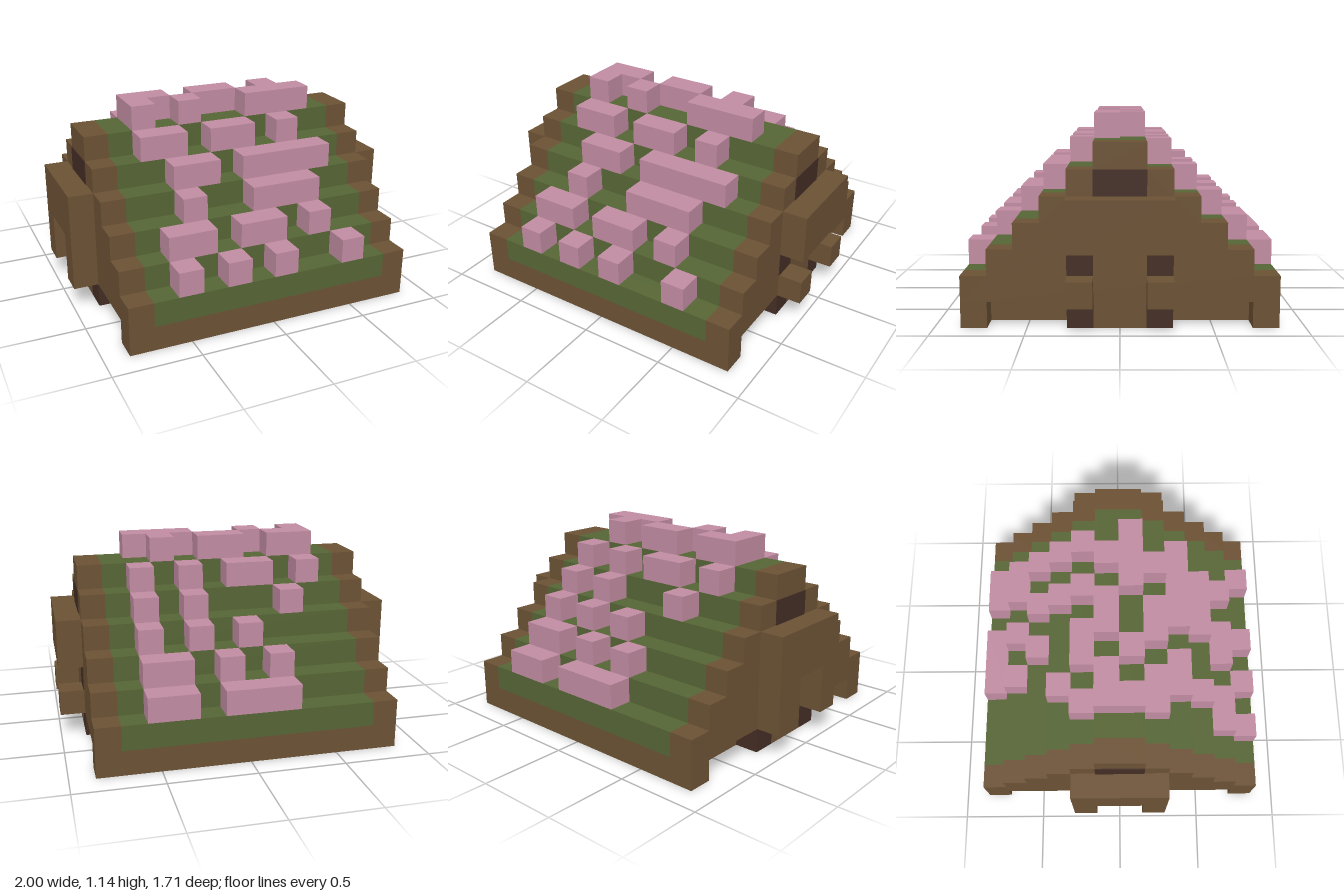
import * as THREE from 'three';

const U = 1 / 7; // block size

export function createModel() {
  const model = new THREE.Group();
  const material = (name, color) => {
    const m = new THREE.MeshStandardMaterial({ color });
    m.name = name;
    return m;
  };
  const brown = material('brown wood', 0x6b5134);
  const green = material('leaf green', 0x566535);
  const pink = material('blossom pink', 0xc08ba1);
  const dark = material('dark opening', 0x432d24);

  // Box given by its limits in block units
  const box = (name, mat, x0, x1, y0, y1, z0, z1) => {
    const geo = new THREE.BoxGeometry((x1 - x0) * U, (y1 - y0) * U, (z1 - z0) * U);
    const mesh = new THREE.Mesh(geo, mat);
    mesh.position.set((x0 + x1) * U / 2, (y0 + y1) * U / 2, (z0 + z1) * U / 2);
    mesh.name = name;
    model.add(mesh);
  };
  // The same box on the +x (side 1) or -x (side -1) side
  const sideBox = (side, name, mat, x0, x1, ...rest) =>
    box(name, mat, side > 0 ? x0 : -x1, side > 0 ? x1 : -x0, ...rest);

  // Stepped roof profile in z and y, sitting on the base
  const profile = new THREE.Shape();
  profile.moveTo(-6 * U, U);
  for (let i = 0; i < 6; i++) {
    profile.lineTo((i - 6) * U, (i + 2) * U);
    if (i < 5) profile.lineTo((i - 5) * U, (i + 2) * U);
  }
  for (let i = 5; i >= 0; i--) {
    profile.lineTo((6 - i) * U, (i + 2) * U);
    if (i > 0) profile.lineTo((6 - i) * U, (i + 1) * U);
  }
  profile.lineTo(6 * U, U);
  const steps = (name, mat, x0, x1) => {
    const geo = new THREE.ExtrudeGeometry(profile, { depth: (x1 - x0) * U, bevelEnabled: false });
    geo.rotateY(-Math.PI / 2);
    geo.translate(x1 * U, 0, 0);
    const mesh = new THREE.Mesh(geo, mat);
    mesh.name = name;
    model.add(mesh);
  };
  steps('greenSteps', green, -5, 5);
  steps('leftEndSteps', brown, 5, 6);
  steps('rightEndSteps', brown, -6, -5);

  // Base, notched along both ends
  box('base', brown, -5, 5, 0, 1, -6, 6);
  for (const side of [1, -1]) {
    sideBox(side, 'doorFoot', brown, 5, 6, 0, 1, -1, 1);
    sideBox(side, 'upperWindow', dark, 6, 6.03, 5, 6, -1, 1);
    for (const s of [1, -1]) {
      const span = (a, b) => (s > 0 ? [a, b] : [-b, -a]);
      sideBox(side, 'cornerPost', brown, 5, 6, 0, 1, ...span(5, 6));
      sideBox(side, 'darkFoot', dark, 5, 6, 0, 1, ...span(1, 2));
    }
  }

  // Left end: overhanging beam, small blocks and dark openings
  box('leftBeam', brown, 6, 7, 3, 5, -2, 2);
  for (const z of [-2, 1]) {
    box('leftBlock', brown, 6, 7, 1, 2, z, z + 1);
    box('leftOpening', dark, 6, 6.03, 2, 3, z, z + 1);
  }

  // Right end: closed porch with two pillars
  box('rightBeam', brown, -7, -6, 3, 5, -2, 2);
  for (const z of [-2, 1]) box('rightPillar', brown, -7, -6, 1, 3, z, z + 1);

  // Blossom runs on each step, from back to front, as [first, end] columns
  const rows = [
    [[-2, 1], [2, 4]],
    [[-2, -1], [0, 1], [2, 4]],
    [[-1, 0], [1, 2], [3, 4]],
    [[-3, -2], [1, 2], [3, 4]],
    [[-4, -3], [-2, 0], [1, 2], [3, 4]],
    [[-4, -2], [-1, 1], [2, 3]],
    [[-4, -3], [-2, -1], [1, 4]],
    [[-4, -2], [-1, 1], [2, 3]],
    [[-3, -1], [0, 4]],
    [[-3, -2], [0, 3]],
    [[-4, -2], [-1, 1], [2, 3]],
    [[-4, -3], [-2, -1], [0, 1], [3, 4]],
  ];
  rows.forEach((runs, i) => {
    const top = 2 + Math.min(i, 11 - i);
    for (const [a, b] of runs) box('blossom', pink, a, b, top, top + 1, i - 6, i - 5);
  });

  return model;
}
